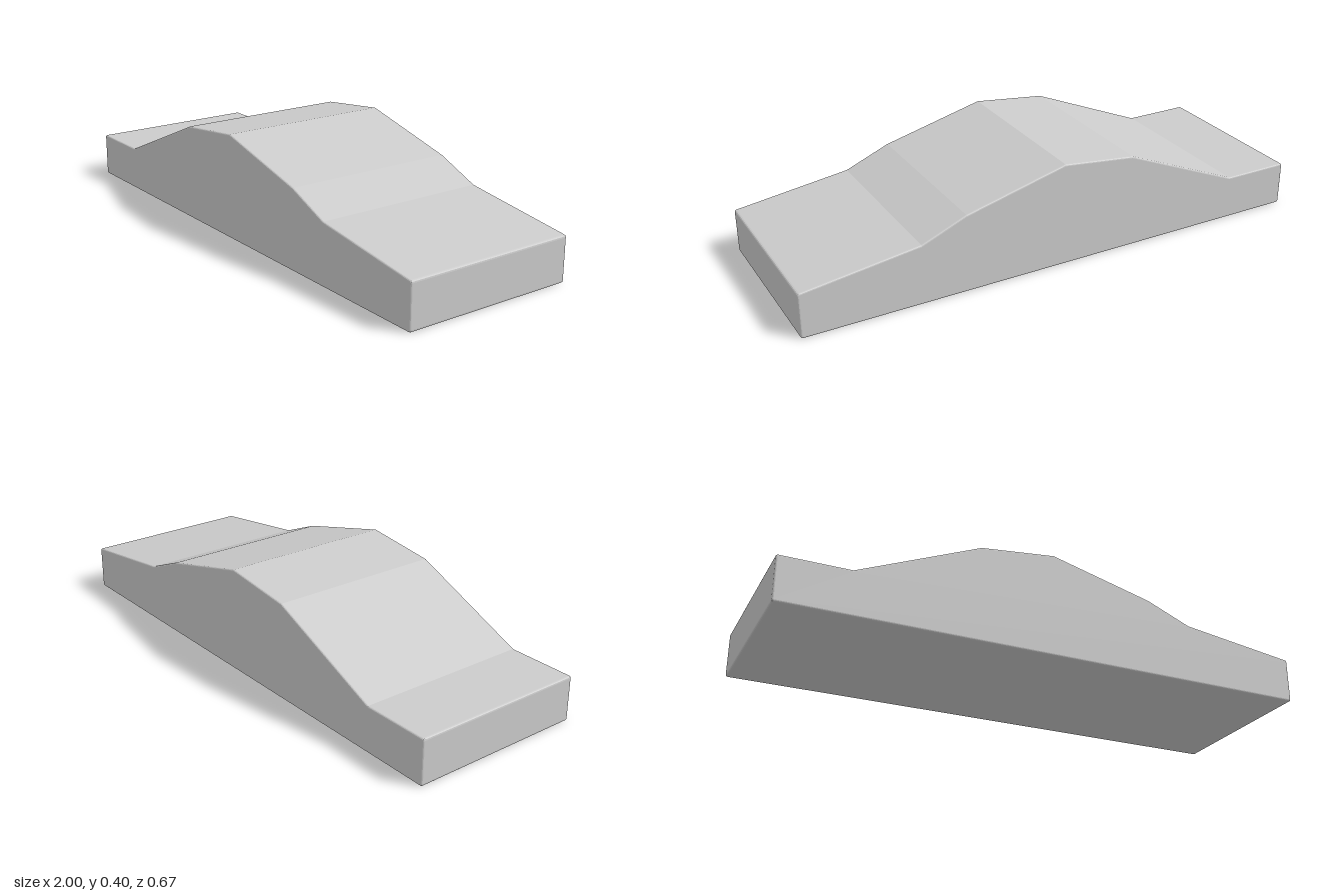
import * as THREE from 'three';

const BEVEL = 0.006;   // softened edge along both side faces
const ROUND = 0.008;   // softened corners at the two ends
const HALF_WIDTH = 0.336;

// Side profile: [x, y, rounded corner?]
const PROFILE = [
  [-1, 0, true],
  [1, 0, true],
  [1, 0.169, true],
  [0.56, 0.228],
  [0.39, 0.298],
  [0, 0.396],
  [-0.283, 0.363],
  [-0.74, 0.169],
  [-1, 0.169, true],
];

function profileShape() {
  const pts = PROFILE.map(([x, y]) => new THREE.Vector2(x, y));
  const n = pts.length;
  const outline = [];
  pts.forEach((p, i) => {
    if (!PROFILE[i][2]) {
      outline.push(p);
      return;
    }
    // Replace the end corner with a small curve
    const toward = (q) => p.clone().add(q.clone().sub(p).setLength(ROUND));
    const curve = new THREE.QuadraticBezierCurve(
      toward(pts[(i + n - 1) % n]), p, toward(pts[(i + 1) % n]));
    outline.push(...curve.getPoints(3));
  });
  return new THREE.Shape(outline);
}

export function createModel() {
  const model = new THREE.Group();
  model.name = 'wedgeBody';

  // Faceted hump profile extruded across the width
  const depth = 2 * (HALF_WIDTH - BEVEL);
  const geometry = new THREE.ExtrudeGeometry(profileShape(), {
    depth,
    bevelEnabled: true,
    bevelThickness: BEVEL,
    bevelSize: BEVEL,
    bevelOffset: -BEVEL,
    bevelSegments: 3,
  });
  geometry.translate(0, 0, -depth / 2);

  const body = new THREE.Mesh(geometry, new THREE.MeshStandardMaterial({ color: 0xcccccc }));
  body.name = 'body';
  model.add(body);
  return model;
}
